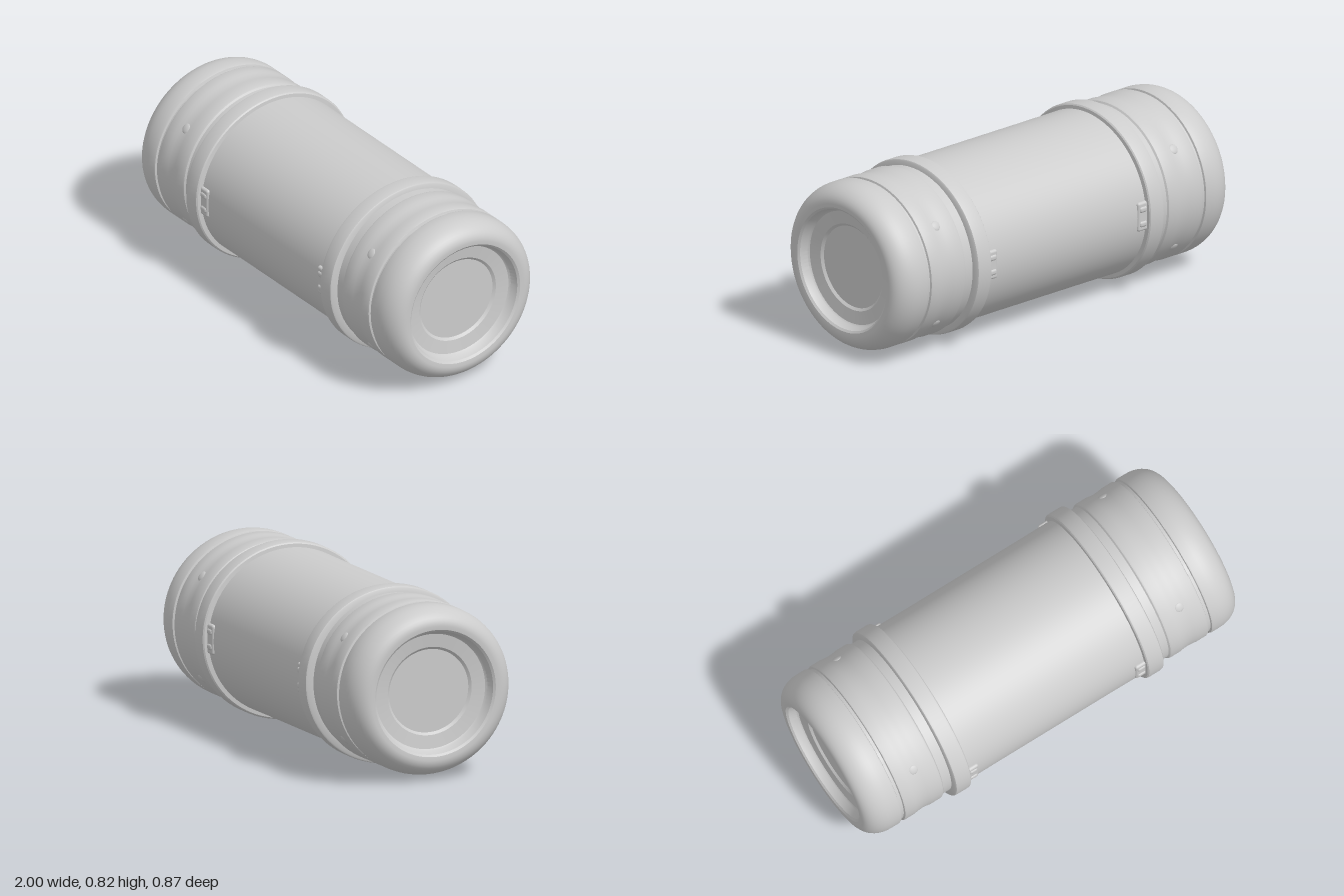
import * as THREE from 'three';
import { toCreasedNormals } from 'three/addons/utils/BufferGeometryUtils.js';
import { RoundedBoxGeometry } from 'three/addons/geometries/RoundedBoxGeometry.js';

const CENTRE_Y = 0.407;
const BODY_RY = 0.96;  // the barrel is slightly flattened in height
const RING_RY = 0.94;

const grey = new THREE.MeshStandardMaterial({ color: 0xcccccc });

function addMesh(parent, name, geometry) {
  const mesh = new THREE.Mesh(geometry, grey);
  mesh.name = name;
  parent.add(mesh);
  return mesh;
}

// Revolves [x, radius] pairs round the x axis, flattened in y
function revolve(profile, squash) {
  const points = profile.map(([x, r]) => new THREE.Vector2(r, x));
  const geometry = new THREE.LatheGeometry(points, 96);
  geometry.rotateZ(-Math.PI / 2);
  geometry.scale(1, squash, 1);
  return toCreasedNormals(geometry, 0.55);
}

// Rounded shoulder from the barrel side to the flat end rim
function shoulder() {
  const points = [];
  for (let i = 0; i <= 10; i++) {
    const a = (i / 10) * Math.PI / 2;
    points.push([0.885 + 0.115 * Math.sin(a), 0.323 + 0.085 * Math.cos(a)]);
  }
  return points;
}

function makeEnd() {
  const end = new THREE.Group();

  // End cap: step, bulged band, groove, shoulder and dished end
  addMesh(end, 'endCap', revolve([
    [0.5, 0.397], [0.606, 0.397], [0.612, 0.405], [0.62, 0.408],
    [0.67, 0.408], [0.69, 0.405], [0.715, 0.403], [0.74, 0.405], [0.76, 0.408],
    [0.808, 0.408], [0.815, 0.405], [0.818, 0.396], [0.832, 0.396], [0.835, 0.405], [0.842, 0.408],
    ...shoulder(),
    [0.998, 0.305], [0.99, 0.295], [0.955, 0.284], [0.948, 0.276],
    [0.94, 0.212], [0.935, 0.206], [0.93, 0.2], [0.93, 0],
  ], BODY_RY));

  // Raised collar ring
  addMesh(end, 'collarRing', revolve([
    [0.472, 0.4], [0.475, 0.426], [0.48, 0.432], [0.488, 0.434],
    [0.548, 0.434], [0.556, 0.432], [0.56, 0.426], [0.563, 0.39],
  ], RING_RY));

  // Small studs on the bulged band
  for (const sy of [-1, 1]) {
    for (const sz of [-1, 1]) {
      const stud = addMesh(end, 'stud', new THREE.SphereGeometry(0.025, 16, 10));
      const a = 0.66;
      stud.scale.set(1, 1, 0.35);
      stud.position.set(0.715, sy * 0.4 * BODY_RY * Math.sin(a), sz * 0.4 * Math.cos(a));
      stud.rotation.x = -sy * sz * a;
    }
  }

  // Low latches beside the collar, front and back
  for (const sz of [-1, 1]) {
    const latch = new THREE.Group();
    latch.name = 'latch';
    latch.position.set(0.452, 0.005, sz * 0.398);
    addMesh(latch, 'latchPlate', new RoundedBoxGeometry(0.06, 0.14, 0.026, 3, 0.012));
    for (const y of [-0.035, 0.035]) {
      const ridge = addMesh(latch, 'latchRidge', new RoundedBoxGeometry(0.045, 0.03, 0.026, 3, 0.012));
      ridge.position.set(0, y, sz * 0.006);
    }
    end.add(latch);
  }
  return end;
}

export function createModel() {
  const model = new THREE.Group();
  model.name = 'barrel';
  const barrel = new THREE.Group();
  barrel.name = 'barrelParts';
  barrel.position.y = CENTRE_Y;
  model.add(barrel);

  // Middle section
  addMesh(barrel, 'body', revolve([
    [-0.51, 0.405], [-0.47, 0.405], [-0.3, 0.404], [0.3, 0.404], [0.47, 0.405], [0.51, 0.405],
  ], 0.95));

  // Matching ends
  const leftEnd = makeEnd();
  leftEnd.name = 'leftEnd';
  const rightEnd = makeEnd();
  rightEnd.name = 'rightEnd';
  rightEnd.rotation.y = Math.PI;
  barrel.add(leftEnd, rightEnd);
  return model;
}
